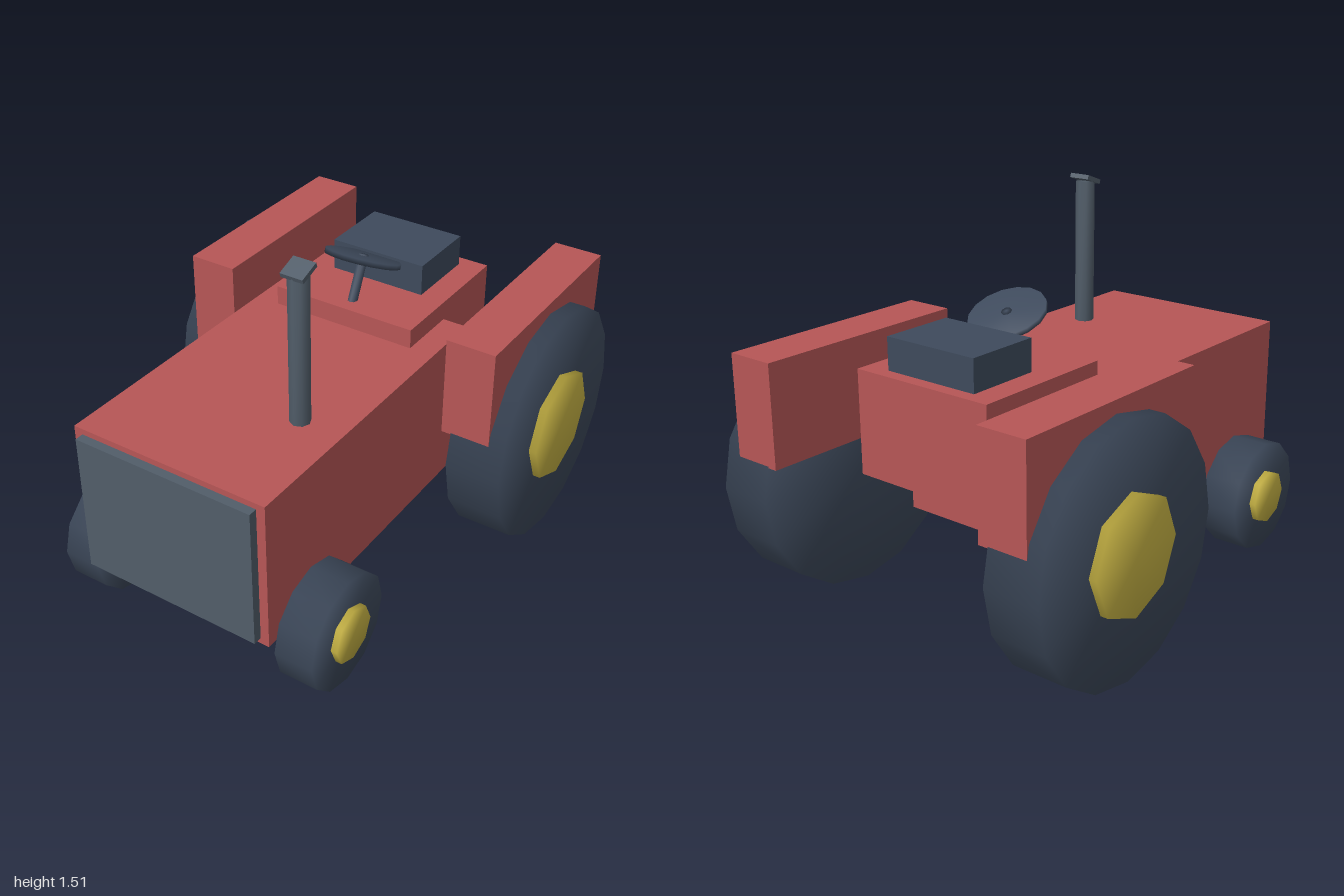
import * as THREE from 'three';
import { mergeVertices } from 'three/addons/utils/BufferGeometryUtils.js';

const paint = (color) => new THREE.MeshStandardMaterial({ color });

export function createModel() {
  const model = new THREE.Group();
  model.name = 'tractor';
  const red = paint(0xb65656);
  const dark = paint(0x3e4a5c);
  const steel = paint(0x515d69);
  const yellow = paint(0xc9b545);

  function add(name, geometry, material, x, y, z, rx = 0, rz = 0) {
    const mesh = new THREE.Mesh(geometry, material);
    mesh.name = name;
    mesh.position.set(x, y, z);
    mesh.rotation.set(rx, 0, rz);
    model.add(mesh);
    return mesh;
  }

  // Box given by its minimum and maximum corners
  function box(name, material, [x0, y0, z0], [x1, y1, z1]) {
    return add(name, new THREE.BoxGeometry(x1 - x0, y1 - y0, z1 - z0), material,
      (x0 + x1) / 2, (y0 + y1) / 2, (z0 + z1) / 2);
  }

  // Few-sided drum whose normals are averaged over rim and caps
  function drum(radius, length, sides) {
    const g = new THREE.CylinderGeometry(radius, radius, length, sides);
    g.deleteAttribute('normal');
    g.deleteAttribute('uv');
    const welded = mergeVertices(g);
    welded.computeVertexNormals();
    return welded;
  }

  // Body, grille, driver platform and seat
  box('body', red, [-0.405, 0.285, -0.367], [0.405, 0.895, 0.965]);
  box('grille', steel, [-0.37, 0.31, 0.95], [0.37, 0.872, 1.0]);
  box('platform', red, [-0.305, 0.568, -0.72], [0.305, 0.973, -0.11]);
  box('seat', dark, [-0.203, 0.96, -0.667], [0.203, 1.1, -0.363]);

  // Wheels, hubs and fenders on both sides
  function wheel(name, side, inner, outer, hubOuter, radius, hubRadius, sides, z) {
    const y = radius + 0.003;
    add(name, drum(radius, outer - inner, sides), dark, side * (inner + outer) / 2, y, z, 0, Math.PI / 2);
    const hubInner = outer - 0.06;
    add(name + 'Hub', drum(hubRadius, hubOuter - hubInner, 8), yellow,
      side * (hubInner + hubOuter) / 2, y, z, 0, Math.PI / 2);
  }
  for (const [label, s] of [['left', 1], ['right', -1]]) {
    wheel(label + 'RearWheel', s, 0.525, 0.75, 0.78, 0.484, 0.228, 16, -0.515);
    wheel(label + 'FrontWheel', s, 0.405, 0.56, 0.585, 0.228, 0.11, 12, 0.708);
    add(label + 'Fender', new THREE.BoxGeometry(0.2, 0.405, 0.915), red, s * 0.585, 0.817, -0.515);
  }

  // Exhaust pipe with tilted rain cap
  add('exhaustPipe', drum(0.039, 0.63, 8), steel, 0.228, 1.165, 0.508);
  add('exhaustCap', new THREE.BoxGeometry(0.09, 0.018, 0.085), steel, 0.228, 1.49, 0.508, 0.35);

  // Steering wheel on a leaning column
  const tilt = -0.42;
  add('steeringWheel', drum(0.151, 0.02, 16), dark, 0, 1.126, -0.254, tilt);
  add('steeringColumn', drum(0.02, 0.24, 8), dark, 0, 1.03, -0.211, tilt);

  return model;
}
